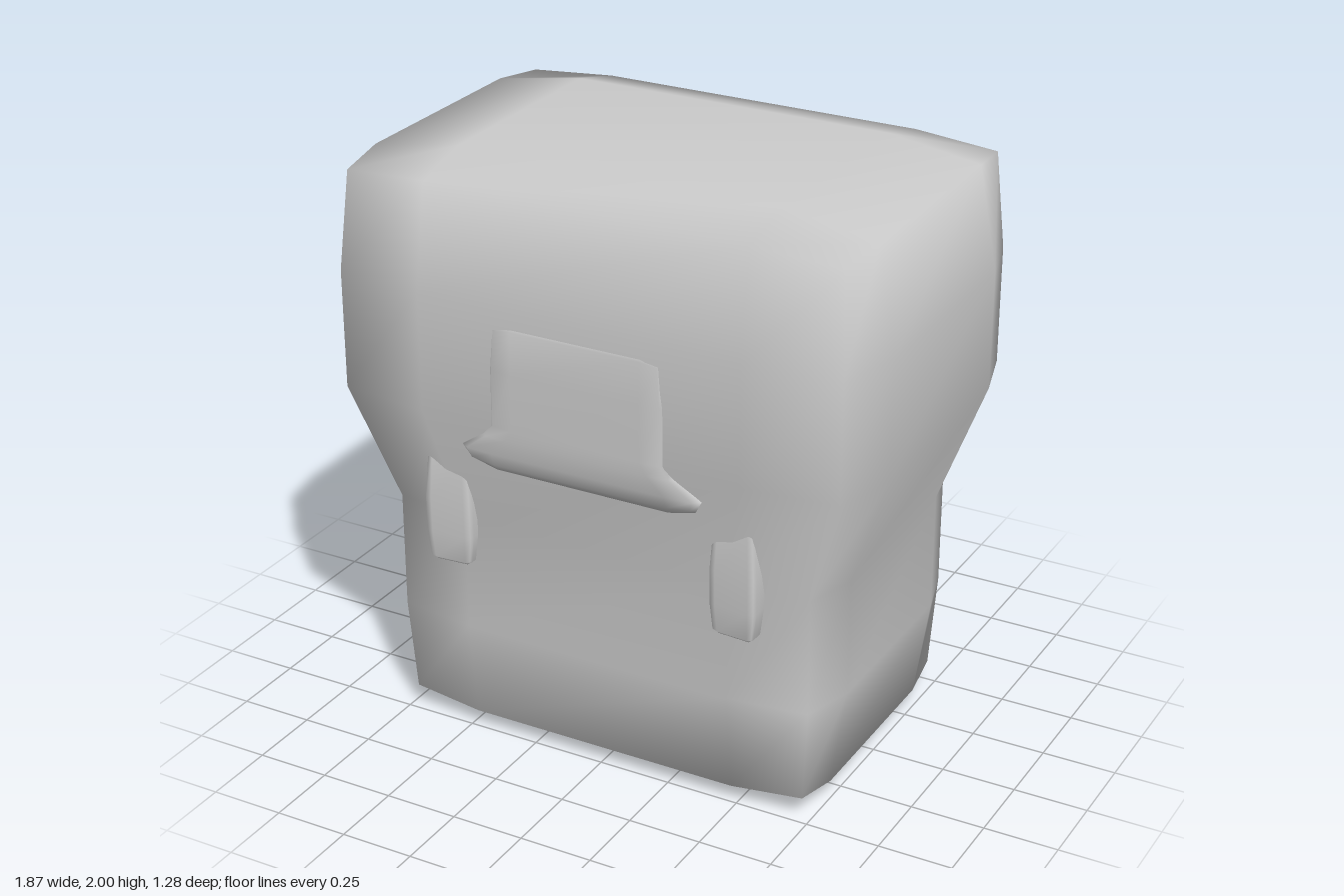
import * as THREE from 'three';
import { mergeVertices } from 'three/addons/utils/BufferGeometryUtils.js';

const grey = new THREE.MeshStandardMaterial({ color: 0xcccccc });
grey.name = 'grey';

// Soft block: a box cage whose levels [y, halfX, halfZ, centreZ] run upwards,
// with edges and corners drawn in and caps at yBottom and yTop.
function softBlock(name, levels, yBottom, yTop, inner = 0.6, edge = 0.935, skew = 0) {
  const n = levels.length - 1;
  const box = new THREE.BoxGeometry(3, n, 3, 3, n, 3);
  box.deleteAttribute('uv');
  box.deleteAttribute('normal');
  const geo = mergeVertices(box, 1e-4);
  const p = geo.attributes.position;
  for (let i = 0; i < p.count; i++) {
    const gx = p.getX(i), gz = p.getZ(i);
    const k = Math.round(p.getY(i) + n / 2);
    const [y, hx, hz, cz] = levels[k];
    const outX = Math.abs(gx) > 1, outZ = Math.abs(gz) > 1;
    const end = k === 0 || k === n;
    // Each outer direction shared with another one pulls the vertex inwards
    const shared = (outX ? 1 : 0) + (outZ ? 1 : 0) + (end ? 1 : 0);
    const s = shared === 3 ? edge - 0.025 : shared === 2 ? edge : 1;
    const cap = k === 0 ? yBottom : yTop;
    let py = y;
    if (end && shared === 1) py = cap;
    if (shared === 3) py = y + (y - cap) * 0.4;
    const x = Math.sign(gx) * hx * (outX ? s : inner);
    const z = cz + Math.sign(gz) * hz * (outZ ? s : inner);
    p.setXYZ(i, x, py, z + skew * x);
  }
  geo.computeVertexNormals();
  const mesh = new THREE.Mesh(geo, grey);
  mesh.name = name;
  return mesh;
}

export function createModel() {
  const model = new THREE.Group();
  model.name = 'head';

  // Skull: wide brow narrowing to the jaw
  model.add(softBlock('skull', [
    [0.055, 0.795, 0.533, -0.004],
    [0.40, 0.795, 0.535, -0.004],
    [0.80, 0.795, 0.535, -0.004],
    [1.20, 0.935, 0.632, -0.006],
    [1.60, 0.935, 0.632, -0.006],
    [1.95, 0.935, 0.615, -0.006],
  ], 0, 2));

  // Nose: flat bridge flaring into broad nostrils
  model.add(softBlock('nose', [
    [1.065, 0.425, 0.085, 0.535],
    [1.11, 0.425, 0.085, 0.545],
    [1.17, 0.345, 0.08, 0.556],
    [1.21, 0.315, 0.08, 0.557],
    [1.40, 0.313, 0.08, 0.558],
    [1.54, 0.313, 0.08, 0.556],
  ], 1.042, 1.56, 0.72, 0.94));

  // Tusks at both sides of the mouth, turned slightly outwards
  for (const side of [-1, 1]) {
    const tusk = softBlock(side > 0 ? 'leftTusk' : 'rightTusk', [
      [0.655, 0.076, 0.056, 0.518],
      [0.75, 0.083, 0.06, 0.518],
      [0.87, 0.083, 0.06, 0.52],
      [1.02, 0.074, 0.058, 0.518],
    ], 0.643, 1.04, 0.7, 0.94, side * 0.07);
    tusk.position.x = side * 0.513;
    model.add(tusk);
  }
  return model;
}
